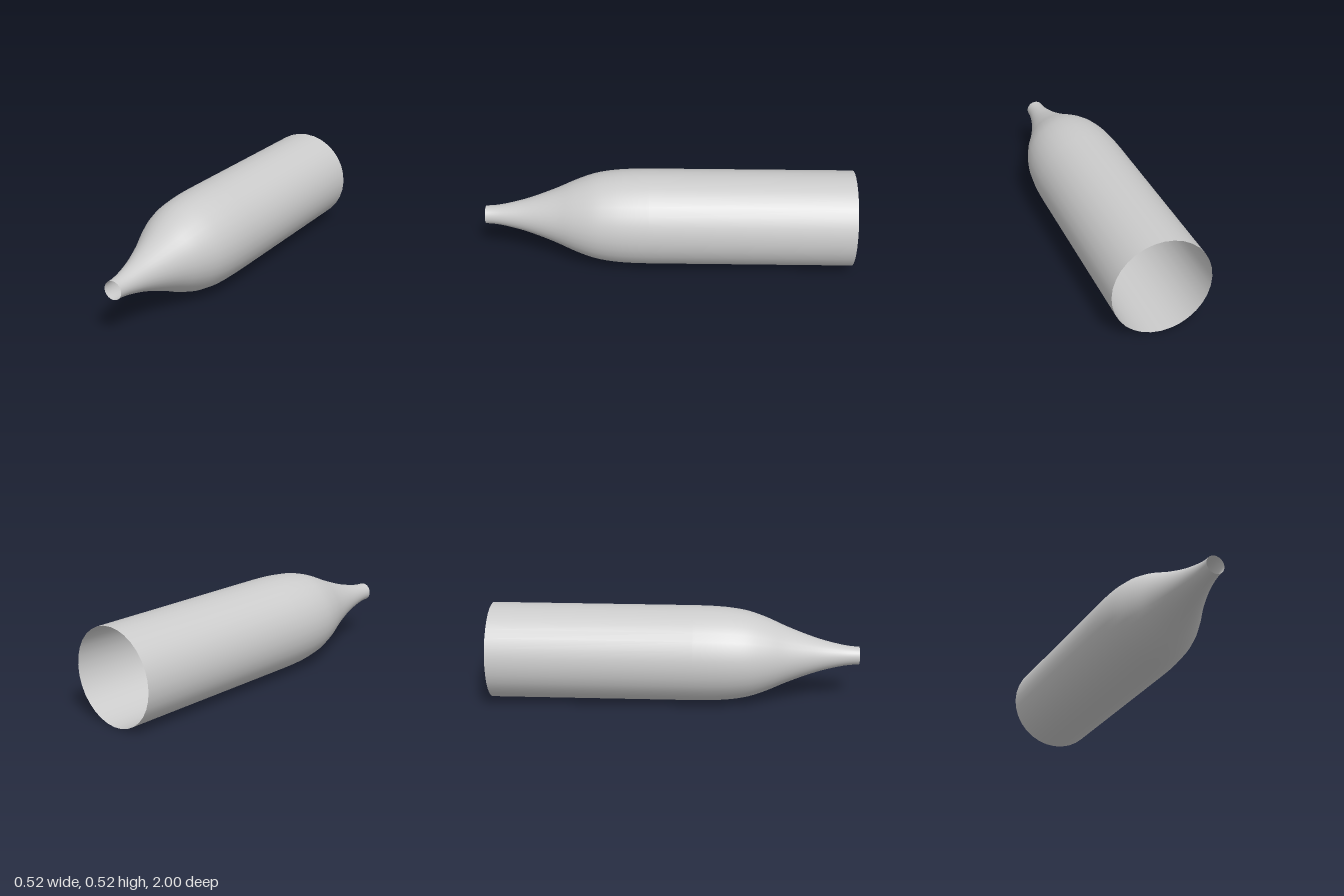
import * as THREE from 'three';

const AXIS_HEIGHT = 0.262;
const SIDES = 32;

export function createModel() {
  const group = new THREE.Group();
  group.name = 'bottleShell';

  const material = new THREE.MeshStandardMaterial({ color: 0xcccccc, side: THREE.DoubleSide });

  // Shoulder and neck outline: radius, position along the axis
  const shoulder = new THREE.SplineCurve([
    [0.26, 0.1], [0.258, 0.2], [0.251, 0.3], [0.234, 0.4], [0.2, 0.5], [0.156, 0.6],
    [0.117, 0.7], [0.084, 0.8], [0.06, 0.9], [0.051, 0.96], [0.049, 1],
  ].map(([r, z]) => new THREE.Vector2(r, z)));

  // Straight barrel, open at the back, running into the open neck
  const profile = [new THREE.Vector2(0.26, -1), ...shoulder.getPoints(40)];
  const geometry = new THREE.LatheGeometry(profile, SIDES);
  geometry.rotateX(Math.PI / 2);

  const shell = new THREE.Mesh(geometry, material);
  shell.name = 'barrelAndNeck';
  shell.position.y = AXIS_HEIGHT;
  group.add(shell);

  return group;
}
